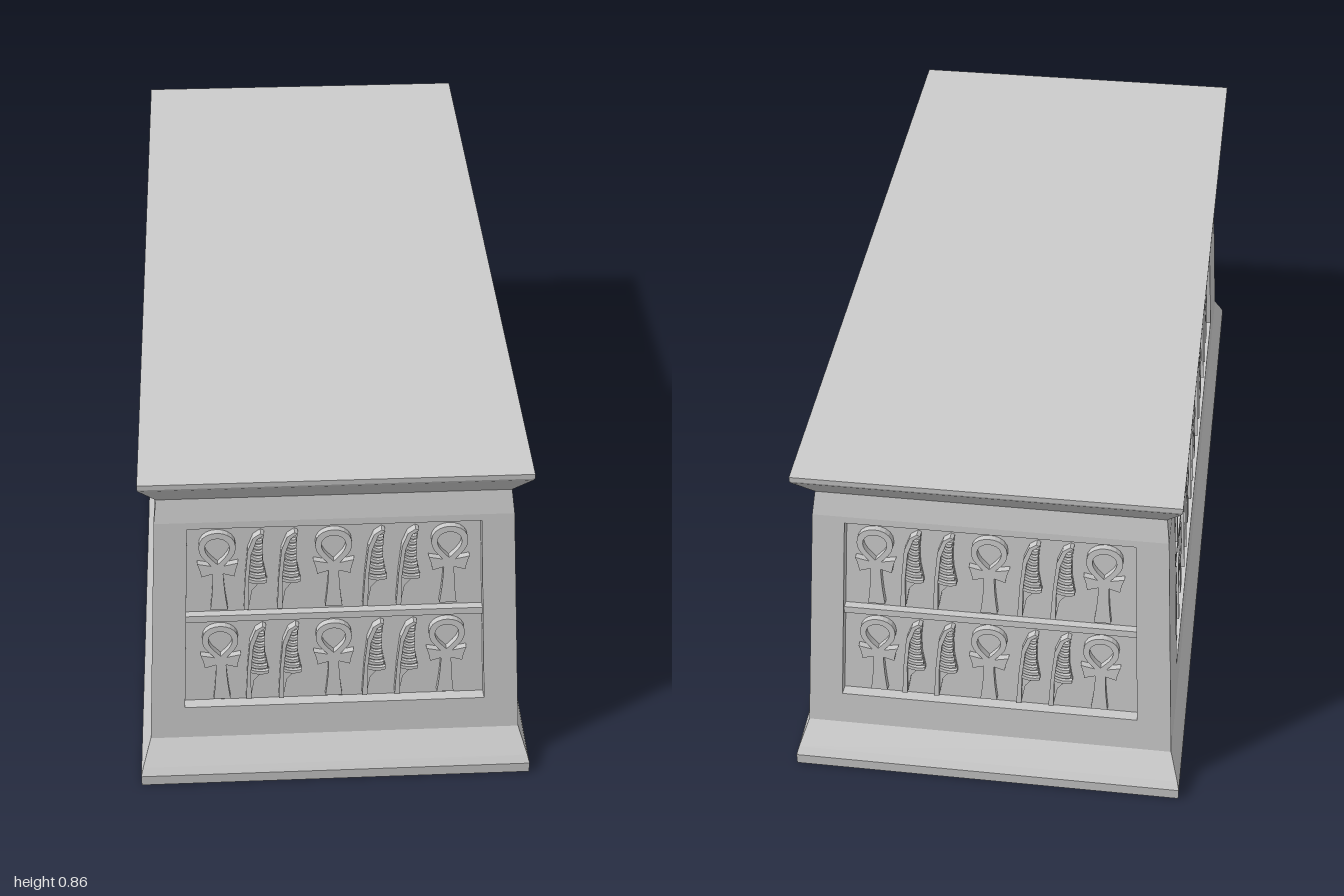
import * as THREE from 'three';

const material = new THREE.MeshStandardMaterial({ color: 0xcccccc, side: THREE.DoubleSide });
const Y0 = 0.1, Y1 = 0.7; // height range of the sloping walls

function mesh(name, geometry, z = 0) {
  const m = new THREE.Mesh(geometry, material);
  m.name = name;
  m.position.z = z;
  return m;
}

const polygon = (pts) => new THREE.Shape(pts.map(([x, y]) => new THREE.Vector2(x, y)));
const extrude = (shape, depth) =>
  new THREE.ExtrudeGeometry(shape, { depth, bevelEnabled: false, curveSegments: 10 });

// Rectangular rings [y, halfX, halfZ] joined by flat faces, with one end capped
function loft(rings, cap) {
  const pos = [];
  const corner = ([y, x, z], i) => [[x, y, z], [x, y, -z], [-x, y, -z], [-x, y, z]][i % 4];
  const quad = (a, b, c, d) => pos.push(...a, ...b, ...c, ...a, ...c, ...d);
  for (let r = 0; r < rings.length - 1; r++) {
    for (let i = 0; i < 4; i++) {
      quad(corner(rings[r], i), corner(rings[r], i + 1), corner(rings[r + 1], i + 1), corner(rings[r + 1], i));
    }
  }
  const end = cap === 'top' ? rings[rings.length - 1] : rings[0];
  const order = cap === 'top' ? [0, 1, 2, 3] : [3, 2, 1, 0];
  quad(...order.map((i) => corner(end, i)));
  const g = new THREE.BufferGeometry();
  g.setAttribute('position', new THREE.Float32BufferAttribute(pos, 3));
  g.computeVertexNormals();
  return g;
}

// Looped cross: flared stem and arms under a teardrop loop
function loopedCrossGeometry(depth) {
  const s = new THREE.Shape();
  s.moveTo(-0.02, 0);
  s.lineTo(0.02, 0);
  s.quadraticCurveTo(0.013, 0.05, 0.012, 0.098);
  s.lineTo(0.038, 0.09);
  s.quadraticCurveTo(0.04, 0.108, 0.047, 0.126);
  s.lineTo(0.014, 0.119);
  s.bezierCurveTo(0.03, 0.138, 0.042, 0.146, 0.042, 0.17);
  s.bezierCurveTo(0.042, 0.22, -0.042, 0.22, -0.042, 0.17);
  s.bezierCurveTo(-0.042, 0.146, -0.03, 0.138, -0.014, 0.119);
  s.lineTo(-0.047, 0.126);
  s.quadraticCurveTo(-0.04, 0.108, -0.038, 0.09);
  s.lineTo(-0.012, 0.098);
  s.quadraticCurveTo(-0.013, 0.05, -0.02, 0);
  const hole = new THREE.Path();
  hole.moveTo(0, 0.123);
  hole.bezierCurveTo(-0.012, 0.136, -0.028, 0.15, -0.028, 0.167);
  hole.bezierCurveTo(-0.028, 0.201, 0.028, 0.201, 0.028, 0.167);
  hole.bezierCurveTo(0.028, 0.15, 0.012, 0.136, 0, 0.123);
  s.holes.push(hole);
  return extrude(s, depth);
}

// Feather: thin blade, raised quill and a stack of curved barbs
function featherGeometries(depth) {
  const blade = polygon([[0, 0], [0.012, 0], [0.02, 0.045], [0.034, 0.062], [0.055, 0.072], [0.047, 0.12],
    [0.046, 0.16], [0.05, 0.202], [0.042, 0.206], [0.025, 0.194], [0.012, 0.16], [0.005, 0.09]]);
  const quill = polygon([[0, 0], [0.012, 0], [0.013, 0.08], [0.02, 0.15], [0.034, 0.19], [0.05, 0.202],
    [0.042, 0.206], [0.025, 0.194], [0.012, 0.16], [0.005, 0.09]]);
  const out = [extrude(blade, depth * 0.45), extrude(quill, depth)];
  for (let i = 0; i < 8; i++) {
    const y = 0.062 + i * 0.0155;
    const left = 0.011 + 0.0022 * i, right = 0.055 - 0.009 * Math.sin(Math.min(1, i / 4) * Math.PI / 2);
    const b = new THREE.Shape();
    b.moveTo(left, y + 0.012);
    b.quadraticCurveTo((left + right) / 2, y + 0.001, right, y + 0.009);
    b.lineTo(right, y + 0.017);
    b.quadraticCurveTo((left + right) / 2, y + 0.009, left, y + 0.021);
    out.push(extrude(b, depth * 0.85));
  }
  return out;
}

// One sloping wall with its recessed panel, divider and two rows of reliefs
function wall(name, o) {
  const g = new THREE.Group();
  g.name = name;
  const at = (pts) => pts.map(([x, y]) => [x, y - Y0]);
  const opening = at([[o.left[0], 0.187], [o.right[0], 0.187], [o.right[1], 0.683], [o.left[1], 0.683]]);
  const face = polygon(at([[-o.half[0], Y0], [o.half[0], Y0], [o.half[1], Y1], [-o.half[1], Y1]]));
  face.holes.push(polygon(opening));
  g.add(mesh('wallFrame', extrude(face, o.recess), -o.recess));
  g.add(mesh('panelBack', new THREE.ShapeGeometry(polygon(opening)), -o.recess + 0.001));

  const mid = (e) => (e[0] + e[1]) / 2;
  const bar = polygon(at([[mid(o.left), 0.423], [mid(o.right), 0.423], [mid(o.right), 0.44], [mid(o.left), 0.44]]));
  g.add(mesh('divider', extrude(bar, o.recess * 0.7), -o.recess));

  const cross = loopedCrossGeometry(o.relief * 0.8);
  const feather = featherGeometries(o.relief);
  for (const base of [0.2, 0.455]) {
    for (const x of o.crosses) {
      const m = mesh('loopedCross', cross, -o.recess);
      m.position.set(x, base - Y0, -o.recess);
      g.add(m);
    }
    for (const x of o.feathers) {
      const f = new THREE.Group();
      f.name = 'feather';
      feather.forEach((geo) => f.add(mesh('featherPart', geo)));
      f.position.set(x, base - Y0, -o.recess);
      g.add(f);
    }
  }

  // Lean the wall back and turn it to its side
  const rise = Y1 - Y0, run = o.dist[0] - o.dist[1];
  g.scale.y = Math.hypot(rise, run) / rise;
  g.rotation.order = 'YXZ';
  g.rotation.set(-Math.atan2(run, rise), o.turn, 0);
  g.position.set(Math.sin(o.turn) * o.dist[0], Y0, Math.cos(o.turn) * o.dist[0]);
  return g;
}

export function createModel() {
  const model = new THREE.Group();
  model.name = 'chest';
  const X = [0.44, 0.407], Z = [0.945, 0.877]; // wall half sizes at Y0 and Y1

  model.add(mesh('plinth', loft([[0, 0.465, 1], [0.028, 0.465, 1], [0.045, 0.46, 0.988], [Y0, X[0], Z[0]]], 'bottom')));
  model.add(mesh('cornice', loft([[Y1, X[1], Z[1]], [0.757, 0.4, 0.862], [0.838, 0.434, 0.934],
    [0.845, 0.436, 0.938], [0.857, 0.436, 0.938]], 'top')));

  // Short walls
  const end = {
    half: X, dist: Z, left: [-0.355, -0.333], right: [0.355, 0.333], recess: 0.03, relief: 0.022,
    crosses: [-0.267, -0.002, 0.263], feathers: [-0.21, -0.133, 0.065, 0.142],
  };
  model.add(wall('frontWall', { ...end, turn: 0 }));
  model.add(wall('backWall', { ...end, turn: Math.PI }));

  // Long walls: the pattern starts with a cross at the front on both sides
  const crosses = [0, 1, 2, 3, 4].map((i) => -0.605 + i * 0.2705);
  const side = { half: Z, dist: X, recess: 0.018, relief: 0.014 };
  model.add(wall('leftWall', {
    ...side, turn: Math.PI / 2, left: [-0.708, -0.665], right: [0.742, 0.7],
    crosses, feathers: crosses.flatMap((x) => [x + 0.06, x + 0.137]),
  }));
  model.add(wall('rightWall', {
    ...side, turn: -Math.PI / 2, left: [-0.742, -0.7], right: [0.708, 0.665],
    crosses: crosses.map((x) => -x), feathers: crosses.flatMap((x) => [-x - 0.115, -x - 0.192]),
  }));
  return model;
}
